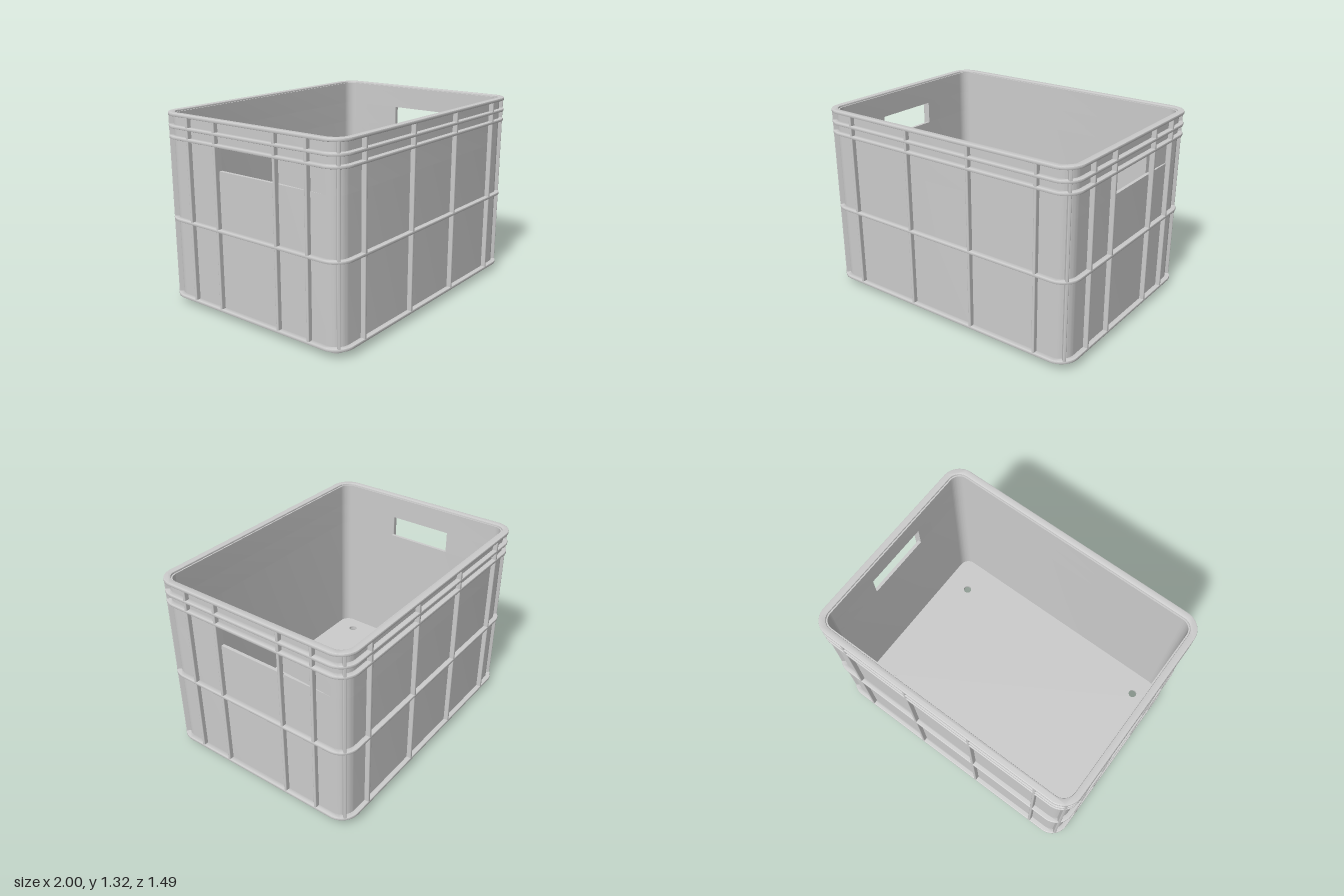
import * as THREE from 'three';
import { toCreasedNormals } from 'three/addons/utils/BufferGeometryUtils.js';
import { RoundedBoxGeometry } from 'three/addons/geometries/RoundedBoxGeometry.js';

const HX = 1, HZ = 0.745, R = 0.13;      // outer half sizes and corner radius
const WALL_OUT = 0.033, WALL_IN = 0.056; // insets of the wall's two skins
const BOTTOM = 0.05, TOP = 1.32;
const GRIP = { half: 0.24, y0: 0.99, y1: 1.147 };

// Rounded rectangle, inset from the outer footprint
function outline(inset, Type = THREE.Shape, r = Math.max(R - inset, 0.03)) {
  const x = HX - inset, z = HZ - inset, p = new Type();
  p.absarc(x - r, z - r, r, 0, Math.PI / 2);
  p.absarc(r - x, z - r, r, Math.PI / 2, Math.PI);
  p.absarc(r - x, r - z, r, Math.PI, Math.PI * 1.5);
  p.absarc(x - r, r - z, r, Math.PI * 1.5, Math.PI * 2);
  p.closePath();
  return p;
}

function ring(outer, inner) {
  const s = outline(outer);
  s.holes.push(outline(inner, THREE.Path));
  return s;
}

// Half of the wall ring, stopping at the grip openings
function halfRing() {
  const ox = HX - WALL_OUT, oz = HZ - WALL_OUT, ro = R - WALL_OUT;
  const ix = HX - WALL_IN, iz = HZ - WALL_IN, ri = R - WALL_IN, g = GRIP.half;
  const s = new THREE.Shape();
  s.moveTo(ox, g);
  s.absarc(ox - ro, oz - ro, ro, 0, Math.PI / 2);
  s.absarc(ro - ox, oz - ro, ro, Math.PI / 2, Math.PI);
  s.lineTo(-ox, g);
  s.lineTo(-ix, g);
  s.absarc(ri - ix, iz - ri, ri, Math.PI, Math.PI / 2, true);
  s.absarc(ix - ri, iz - ri, ri, Math.PI / 2, 0, true);
  s.lineTo(ix, g);
  s.closePath();
  return s;
}

// Extrude a plan shape upwards from y0 to y1
function slab(shape, y0, y1, bevel = 0) {
  const g = new THREE.ExtrudeGeometry(shape, {
    depth: y1 - y0 - 2 * bevel, curveSegments: 10, bevelEnabled: bevel > 0,
    bevelSize: bevel, bevelThickness: bevel, bevelOffset: -bevel, bevelSegments: 2,
  });
  g.translate(0, 0, bevel);
  g.rotateX(-Math.PI / 2);
  g.translate(0, y0, 0);
  return toCreasedNormals(g, 0.7);
}

export function createModel() {
  const crate = new THREE.Group();
  crate.name = 'storageCrate';
  const material = new THREE.MeshStandardMaterial({ color: 0xcccccc });
  const add = (name, geometry, x = 0, y = 0, z = 0, turn = 0) => {
    const mesh = new THREE.Mesh(geometry, material);
    mesh.name = name;
    mesh.position.set(x, y, z);
    mesh.rotation.y = turn;
    crate.add(mesh);
    return mesh;
  };

  // Walls, in three bands so the end walls keep their grip openings
  const wall = ring(WALL_OUT, WALL_IN);
  add('lowerWall', slab(wall, BOTTOM, GRIP.y0));
  add('upperWall', slab(wall, GRIP.y1, TOP - 0.012));
  const band = slab(halfRing(), GRIP.y0, GRIP.y1);
  add('gripWallFront', band);
  add('gripWallBack', band, 0, 0, 0, Math.PI);

  // Top rim and horizontal ribs
  add('rim', slab(ring(0, 0.046), TOP - 0.022, TOP, 0.006));
  for (const y of [0.057, 0.603, 1.157, 1.228]) {
    add('horizontalRib', slab(ring(0, 0.04), y - 0.01, y + 0.01, 0.005));
  }

  // Vertical ribs on the long walls, the end walls and the corners
  const ribHeight = TOP - 0.01 - BOTTOM, ribY = BOTTOM + ribHeight / 2;
  const rib = new RoundedBoxGeometry(0.02, ribHeight, 0.038, 2, 0.006);
  for (const s of [-1, 1]) {
    for (const x of [-0.75, -0.25, 0.25, 0.75]) {
      add('longWallRib', rib, x, ribY, s * (HZ - 0.02));
    }
    for (const z of [-0.495, -0.25, 0.25, 0.495]) {
      add('endWallRib', rib, s * (HX - 0.02), ribY, z, Math.PI / 2);
    }
    for (const t of [-1, 1]) {
      const d = (R - 0.02) * Math.SQRT1_2;
      add('cornerRib', rib, s * (HX - R + d), ribY, t * (HZ - R + d), s * t * Math.PI / 4);
    }
  }

  // Floor plate with four drain holes
  const floor = outline(WALL_OUT);
  for (const [x, z] of [[-0.76, -0.585], [0.755, -0.495], [-0.825, 0.53], [0.76, 0.465]]) {
    floor.holes.push(new THREE.Path().absarc(x, -z, 0.03, 0, Math.PI * 2));
  }
  add('floor', slab(floor, 0.047, 0.065));

  // Stacking foot and the grid of ribs under the floor
  add('stackingFoot', slab(ring(0.078, 0.125), 0, 0.05, 0.006));
  const tapered = (length) => {
    const s = new THREE.Shape();
    s.moveTo(-0.015, 0);
    s.lineTo(0.015, 0);
    s.lineTo(0.026, 0.05);
    s.lineTo(-0.026, 0.05);
    s.closePath();
    return new THREE.ExtrudeGeometry(s, { depth: length, bevelEnabled: false })
      .translate(0, 0, -length / 2);
  };
  const crossRib = tapered(1.27), longRib = tapered(1.78);
  for (let i = -2; i <= 2; i++) add('underCrossRib', crossRib, i * 0.305, 0.004, 0);
  for (let i = -1; i <= 1; i++) add('underLongRib', longRib, 0, 0.003, i * 0.33, Math.PI / 2);

  return crate;
}
